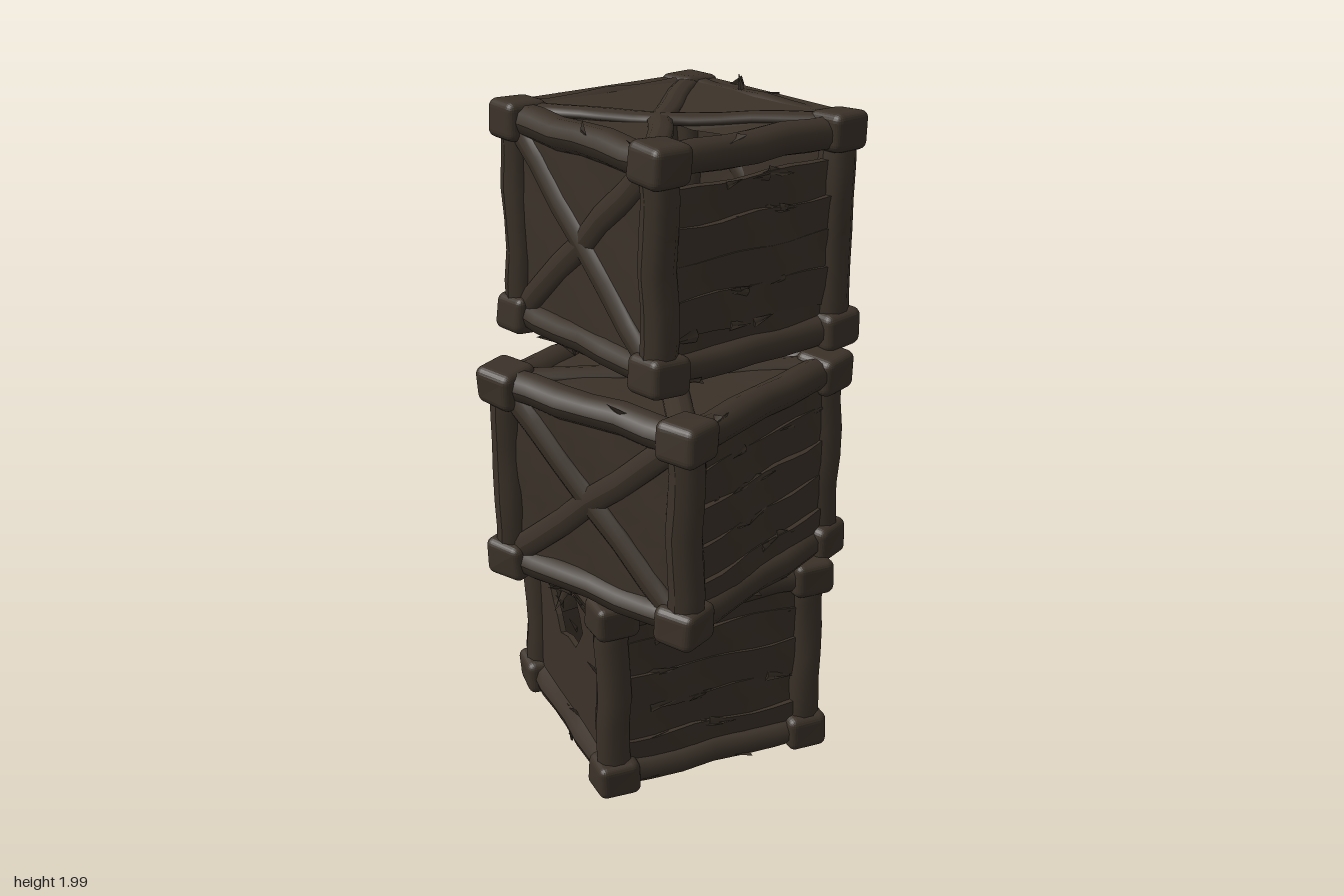
import * as THREE from 'three';
import { mergeGeometries } from 'three/addons/utils/BufferGeometryUtils.js';
import { RoundedBoxGeometry } from 'three/addons/geometries/RoundedBoxGeometry.js';

const wood = new THREE.MeshStandardMaterial({ color: 0x3b3229, side: THREE.DoubleSide });
wood.name = 'weatheredWood';

let seed = 7;
const rnd = (a = 0, b = 1) => {
  seed = (seed * 16807) % 2147483647;
  return a + (b - a) * (seed / 2147483647);
};
const V = (x, y, z = 0) => new THREE.Vector3(x, y, z);

function add(parent, geo, name) {
  const m = new THREE.Mesh(geo, wood);
  m.name = name;
  parent.add(m);
  return m;
}

// Lumpy, worn surface: shifts each vertex by a smooth function of its position
function wobble(geo, amp, phase) {
  const p = geo.attributes.position;
  for (let i = 0; i < p.count; i++) {
    const x = p.getX(i), y = p.getY(i), z = p.getZ(i);
    p.setXYZ(i,
      x + amp * Math.sin(17 * y + 9 * z + phase),
      y + amp * Math.sin(19 * x + 11 * z + phase * 2),
      z + amp * Math.sin(15 * x + 21 * y + phase * 3));
  }
  geo.computeVertexNormals();
  return geo;
}

// Rounded timber between two points
function beam(parent, a, b, r, name, flat = 1) {
  const len = a.distanceTo(b);
  const geo = wobble(new THREE.CylinderGeometry(r, r, len, 10, 6), 0.004, rnd(0, 6));
  const m = add(parent, geo, name);
  m.position.copy(a).add(b).multiplyScalar(0.5);
  m.quaternion.setFromUnitVectors(V(0, 1, 0), b.clone().sub(a).normalize());
  m.scale.z = flat;
}

// Thin pointed sliver of wood
function splinter(pos, angle, tilt, len) {
  const g = new THREE.ConeGeometry(len * 0.25, len, 3);
  g.scale(1, 1, 0.3);
  g.rotateX(tilt);
  g.rotateZ(angle);
  g.translate(...pos);
  return g;
}

// Solid panel with a diagonal cross
function crossFace(g, w, h, z) {
  add(g, wobble(new THREE.BoxGeometry(w, h, 0.02, 10, 10, 1), 0.004, rnd(0, 6)), 'panel').position.z = z;
  for (const s of [-1, 1])
    beam(g, V(-s * w * 0.47, -h * 0.47, z + 0.008), V(s * w * 0.47, h * 0.47, z + 0.008), 0.04, 'crossBrace', 0.55);
}

// Splintered horizontal planks, with an optional gap under the upper rail
function plankFace(g, w, h, z, gap = 0) {
  const n = 5, ph = (h - gap) / n, bits = [];
  for (let i = 0; i < n; i++) {
    const y = -h / 2 + (i + 0.5) * ph;
    const plank = add(g, wobble(new THREE.BoxGeometry(w, ph * 1.12, 0.022, 10, 2, 1), 0.005, rnd(0, 6)), 'plank');
    plank.position.set(0, y, z + rnd(-0.008, 0.006));
    plank.rotation.set(0.06, 0, rnd(-0.015, 0.015));
    for (let k = 0; k < 3; k++)
      bits.push(splinter([rnd(-0.42, 0.42) * w, y + ph * 0.48, z + 0.014],
        (rnd() < 0.5 ? 1 : -1) * rnd(1.3, 1.8), rnd(0, 0.25), rnd(0.05, 0.1)));
  }
  add(g, mergeGeometries(bits), 'plankSplinters');
}

// Panel with ragged holes; each hole is centre x, y, radius x, radius y
function tornFace(g, w, h, z, holes) {
  const shape = new THREE.Shape([[-1, -1], [1, -1], [1, 1], [-1, 1]]
    .map(([x, y]) => new THREE.Vector2(x * w / 2, y * h / 2)));
  const bits = [];
  for (const [x, y, rx, ry] of holes) {
    const pts = [];
    for (let i = 0; i < 13; i++) {
      const a = -i / 13 * Math.PI * 2, k = rnd(0.65, 1.05);
      pts.push(new THREE.Vector2(x + Math.cos(a) * rx * k, y + Math.sin(a) * ry * k));
    }
    shape.holes.push(new THREE.Path(pts));
    // Shred hanging in the hole
    bits.push(splinter([x - 0.3 * rx, y + ry * 0.3, z + 0.005], Math.PI - 0.4, 0.2, ry * 1.4));
  }
  const panel = add(g, new THREE.ExtrudeGeometry(shape, { depth: 0.018, bevelEnabled: false }), 'tornPanel');
  panel.position.z = z - 0.01;
  for (let i = 0; i < 10; i++)
    bits.push(splinter([rnd(-0.4, 0.4) * w, rnd(-0.45, 0.45) * h, z + 0.01], rnd(1.2, 1.9), rnd(0, 0.25), rnd(0.05, 0.09)));
  add(g, mergeGeometries(bits), 'panelShreds');
}

// Broken lid: boards sagging to a shallow centre, with an open hole on one side
function brokenLid(g, w, h, z) {
  const a = w / 2 + 0.035, b = h / 2 + 0.035, top = z + 0.035;
  const centre = V(0.01, -0.06, top - 0.02);
  const frontLeft = V(-a, -b, top), frontRight = V(a * 0.9, -b * 0.9, top);
  const backLeft = V(-a, b, top), backRight = V(a * 0.95, b, top);
  const board = (pts, name) => {
    const geo = new THREE.BufferGeometry().setFromPoints(pts);
    geo.computeVertexNormals();
    add(g, geo, name);
  };
  board([centre, backLeft, frontLeft], 'lidBoard');
  board([centre, backRight, backLeft], 'lidBoard');
  const sunk = V(0, 0, -0.04);
  board([centre, frontLeft.clone().add(sunk), frontRight.clone().add(sunk)], 'sunkenLidBoard');
  const inner = V(0.1, -0.02, top - 0.04), outer = V(0.27, 0.08, top - 0.05);
  board([centre, inner, backRight, inner, outer, backRight], 'brokenLidBoard');
  for (const end of [frontLeft, frontRight, backLeft, backRight])
    beam(g, centre, centre.clone().lerp(end, 0.92).add(V(0, 0, -0.008)), 0.036, 'lidBrace', 0.5);
}

function crate(name, width, depth, height, faces) {
  const g = new THREE.Group();
  g.name = name;
  const cx = width / 2 - 0.066, cz = depth / 2 - 0.066, ch = height / 2 - 0.058, bits = [];
  // Corner blocks
  for (const x of [-1, 1]) for (const y of [-1, 1]) for (const z of [-1, 1]) {
    const block = add(g, wobble(new RoundedBoxGeometry(0.13, 0.112, 0.13, 3, 0.025), 0.004, rnd(0, 6)), 'cornerBlock');
    block.position.set(x * cx, y * ch, z * cz);
    block.rotation.set(rnd(-0.06, 0.06), rnd(-0.06, 0.06), rnd(-0.06, 0.06));
  }
  // Posts and rails
  for (const s of [-1, 1]) for (const t of [-1, 1]) {
    beam(g, V(s * cx, -ch, t * cz), V(s * cx, ch, t * cz), 0.052, 'cornerPost');
    beam(g, V(-cx, s * ch, t * cz), V(cx, s * ch, t * cz), 0.047, 'rail');
    beam(g, V(t * cx, s * ch, -cz), V(t * cx, s * ch, cz), 0.047, 'rail');
    // Slivers lifting from the rails
    for (let k = 0; k < 2; k++) {
      bits.push(splinter([rnd(-cx, cx), s * (ch + 0.033), t * (cz + 0.03)], rnd(1, 2.1), rnd(-0.5, 0.5), rnd(0.06, 0.1)));
      bits.push(splinter([t * (cx + 0.03), s * (ch + 0.028), rnd(-cz, cz)], rnd(-0.9, 0.9), rnd(1, 2), rnd(0.06, 0.1)));
    }
  }
  add(g, mergeGeometries(bits), 'railSplinters');
  // Sides, top and bottom: tilt, turn, half width, half height, distance out
  const H = Math.PI / 2;
  const sides = {
    front: [0, 0, cx, ch, cz], left: [0, H, cz, ch, cx], back: [0, 2 * H, cx, ch, cz],
    right: [0, -H, cz, ch, cx], top: [-H, 0, cx, cz, ch], bottom: [H, 0, cx, cz, ch],
  };
  for (const [side, [rx, ry, hw, hh, out]] of Object.entries(sides)) {
    const f = new THREE.Group();
    f.name = side + 'Face';
    f.rotation.set(rx, ry, 0);
    g.add(f);
    (faces[side] || crossFace)(f, 2 * hw + 0.02, 2 * hh + 0.02, out + 0.008);
  }
  return g;
}

export function createModel() {
  const model = new THREE.Group();
  model.name = 'crateStack';

  const bottom = crate('bottomCrate', 0.76, 0.76, 0.655, {
    left: plankFace,
    right: plankFace,
    front: (g, w, h, z) => tornFace(g, w, h, z, [[-0.03, 0.1, 0.15, 0.11]]),
    back: (g, w, h, z) => tornFace(g, w, h, z, [[-0.1, 0.15, 0.13, 0.055], [0.17, 0.2, 0.09, 0.045], [0.15, -0.2, 0.08, 0.04]]),
  });
  bottom.position.set(0, 0.337, -0.027);
  bottom.rotation.y = -Math.PI / 4;

  const middle = crate('middleCrate', 0.77, 0.785, 0.655, { left: plankFace });
  middle.position.set(0.053, 0.964, 0.11);
  middle.rotation.y = -0.3;

  const top = crate('topCrate', 0.79, 0.755, 0.69, {
    left: (g, w, h, z) => plankFace(g, w, h, z, 0.09),
    top: brokenLid,
  });
  top.position.set(-0.003, 1.622, -0.088);
  top.rotation.y = -0.54;

  model.add(bottom, middle, top);
  // Tall sliver on the uppermost rail
  const sliver = add(model, splinter([0, 0, 0], 0.15, 0, 0.08), 'tallSplinter');
  sliver.position.set(0.08, 1.96, -0.4);
  return model;
}
